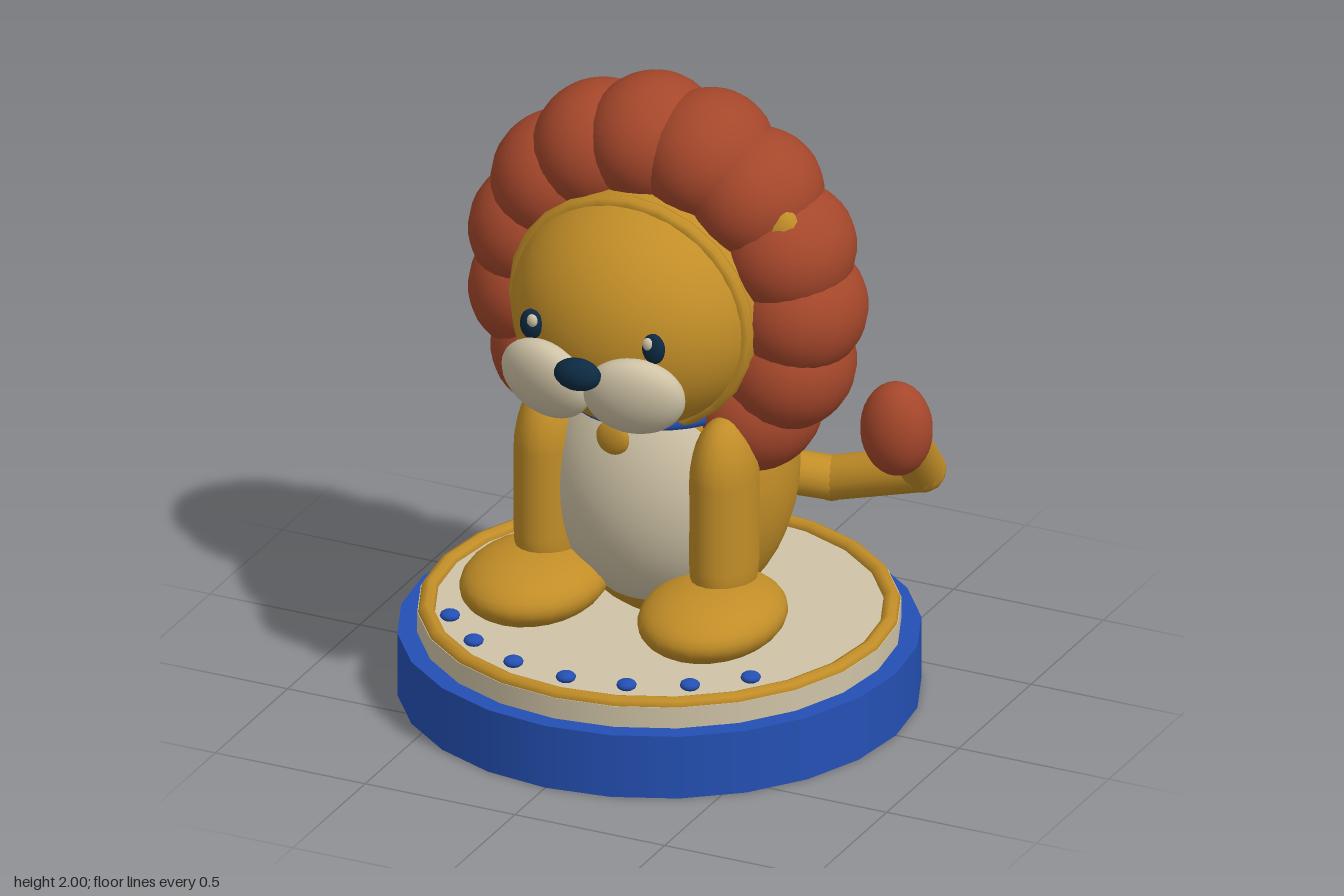
import * as THREE from 'three';

const mat = (name, color) => {
  const m = new THREE.MeshStandardMaterial({ color });
  m.name = name;
  return m;
};

export function createModel() {
  const ochre = mat('ochre fur', 0xc18d27);
  const rust = mat('rust mane', 0xa5472b);
  const cream = mat('cream', 0xcfc3a6);
  const blue = mat('royal blue', 0x2450b4);
  const navy = mat('dark navy', 0x0c2a42);

  const model = new THREE.Group();
  model.name = 'lionOnPedestal';

  const add = (name, geometry, material, pos, parent = model) => {
    const m = new THREE.Mesh(geometry, material);
    m.name = name;
    m.position.set(...pos);
    parent.add(m);
    return m;
  };
  const blob = (name, material, pos, radii, parent = model, seg = 24) => {
    const g = new THREE.SphereGeometry(1, seg, Math.round(seg * 0.7));
    g.scale(...radii);
    return add(name, g, material, pos, parent);
  };

  // Pedestal
  add('pedestalBase', new THREE.CylinderGeometry(0.79, 0.79, 0.205, 24), blue, [0, 0.1025, 0]);
  add('pedestalTop', new THREE.CylinderGeometry(0.73, 0.73, 0.07, 24), cream, [0, 0.238, 0]);
  add('pedestalRim', new THREE.TorusGeometry(0.702, 0.027, 8, 24), ochre, [0, 0.27, 0]).rotation.x = Math.PI / 2;
  for (let i = -3; i <= 3; i++) {
    const a = i * 0.296;
    blob('stud', blue, [Math.sin(a) * 0.647, 0.309, Math.cos(a) * 0.647], [0.031, 0.017, 0.031], model, 12);
  }

  // Torso
  blob('body', ochre, [0, 0.73, -0.09], [0.39, 0.5, 0.37], model, 32);
  blob('belly', cream, [0, 0.72, 0], [0.35, 0.42, 0.308], model, 32);
  add('collar', new THREE.TorusGeometry(0.258, 0.026, 8, 32), blue, [0, 1.0, 0]).rotation.x = Math.PI / 2;
  blob('collarPendant', ochre, [0, 0.965, 0.322], [0.055, 0.055, 0.022], model, 16);

  // Front legs and feet
  for (const s of [-1, 1]) {
    const leg = new THREE.CapsuleGeometry(0.098, 0.14, 8, 20);
    leg.scale(1, 2, 1.38);
    add(s > 0 ? 'leftFrontLeg' : 'rightFrontLeg', leg, ochre, [s * 0.293, 0.69, 0.157]);
    blob(s > 0 ? 'leftFoot' : 'rightFoot', ochre, [s * 0.297, 0.405, 0.247], [0.215, 0.107, 0.275]);
  }

  // Head with the rim that frames the face
  const head = new THREE.Group();
  head.name = 'head';
  model.add(head);
  blob('skull', ochre, [0, 1.33, 0.13], [0.395, 0.368, 0.375], head, 32);
  const rim = new THREE.TorusGeometry(0.38, 0.028, 8, 24);
  rim.scale(1, 0.94, 1);
  add('faceRim', rim, ochre, [0, 1.33, 0.195], head);
  blob('nose', navy, [0, 1.28, 0.567], [0.076, 0.05, 0.049], head, 16);
  for (const s of [-1, 1]) {
    blob('ear', ochre, [s * 0.4, 1.63, 0.06], [0.1, 0.1, 0.06], head, 16);
    blob('muzzle', cream, [s * 0.147, 1.2, 0.478], [0.158, 0.135, 0.076], head)
      .rotation.set(0.28, s * 0.2, 0);
    blob('eye', navy, [s * 0.204, 1.362, 0.463], [0.037, 0.049, 0.024], head, 16);
    blob('eyeGlint', cream, [s * 0.193, 1.382, 0.48], [0.018, 0.021, 0.012], head, 10);
  }

  // Mane: ring of overlapping lobes
  const mane = new THREE.Group();
  mane.name = 'mane';
  model.add(mane);
  const lobes = 15;
  for (let i = 0; i < lobes; i++) {
    const a = (i / lobes) * Math.PI * 2;
    blob('maneLobe', rust, [Math.cos(a) * 0.445, 1.33 + Math.sin(a) * 0.467, -0.052],
      [0.202, 0.202, 0.226], mane);
  }

  // Tail: three straight segments with rounded joints and a tuft
  const tail = new THREE.Group();
  tail.name = 'tail';
  model.add(tail);
  const pts = [[0.0, 0.56, -0.45], [0.26, 0.47, -0.655], [0.56, 0.555, -0.665], [0.58, 0.78, -0.46]]
    .map((p) => new THREE.Vector3(...p));
  const up = new THREE.Vector3(0, 1, 0);
  for (let i = 0; i < 3; i++) {
    const dir = pts[i + 1].clone().sub(pts[i]);
    const mid = pts[i].clone().addScaledVector(dir, 0.5);
    const seg = add('tailSegment', new THREE.CylinderGeometry(0.069, 0.069, dir.length(), 16), ochre, mid.toArray(), tail);
    seg.quaternion.setFromUnitVectors(up, dir.normalize());
    if (i > 0) blob('tailJoint', ochre, pts[i].toArray(), [0.071, 0.071, 0.071], tail, 12);
  }
  blob('tailTuft', rust, [0.575, 0.785, -0.45], [0.112, 0.15, 0.1], tail);

  return model;
}
